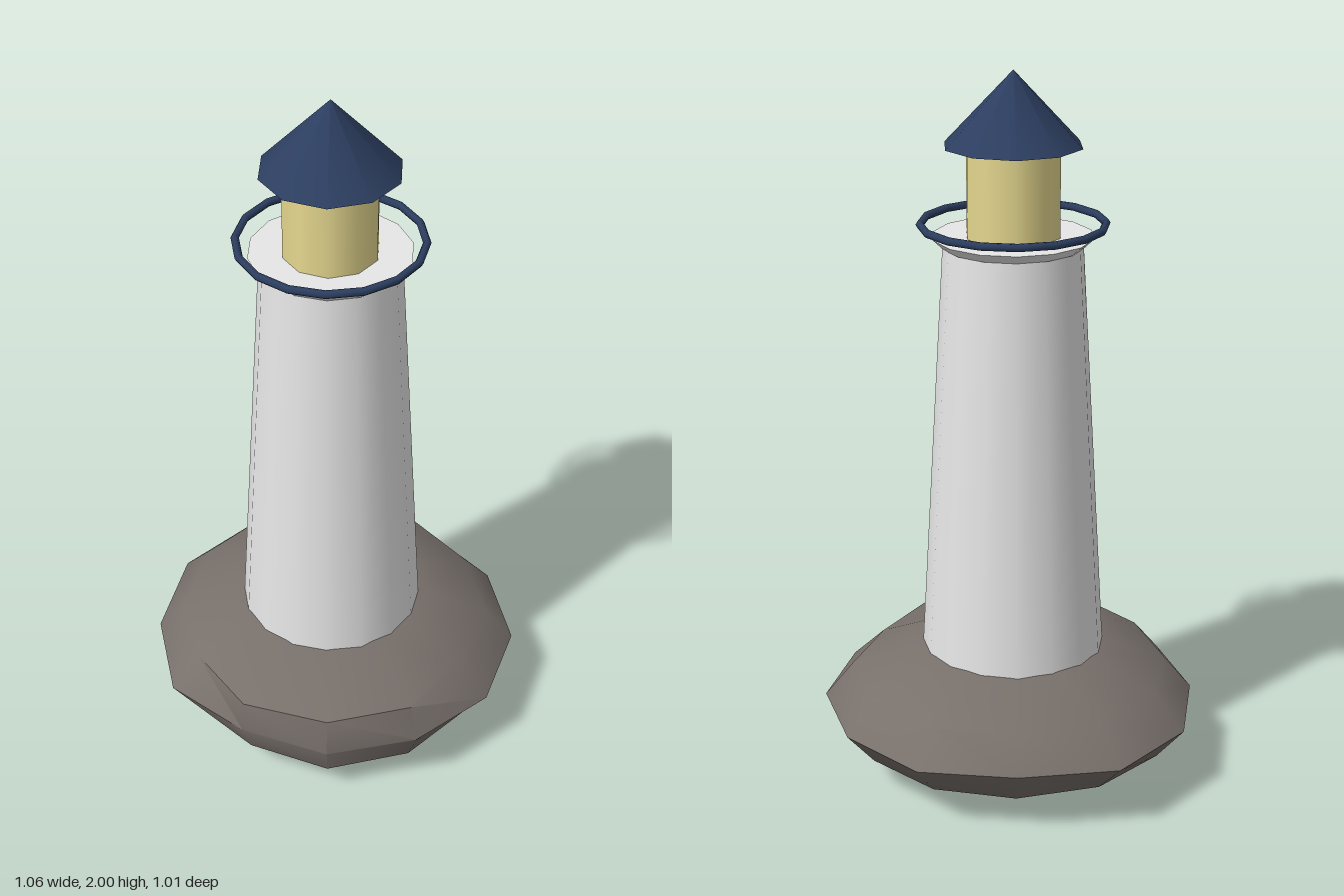
import * as THREE from 'three';
import { mergeVertices, toCreasedNormals } from 'three/addons/utils/BufferGeometryUtils.js';

const AXIS_X = -0.012; // tower axis

// Squashed boulder: 12 x 6 sphere with a radius for each column of each ring
function rockGeometry() {
  const rings = {
    1: [0.27, 0.26, 0.25, 0.25, 0.26, 0.28, 0.26, 0.26, 0.28, 0.25, 0.27, 0.27],
    2: [0.45, 0.42, 0.468, 0.476, 0.48, 0.45, 0.45, 0.46, 0.47, 0.45, 0.46, 0.45],
    3: [0.53, 0.522, 0.504, 0.505, 0.489, 0.533, 0.53, 0.551, 0.558, 0.51, 0.537, 0.532],
    4: [0.45, 0.45, 0.46, 0.47, 0.45, 0.46, 0.46, 0.47, 0.46, 0.45, 0.45, 0.45],
    5: [0.27, 0.26, 0.27, 0.27, 0.27, 0.27, 0.28, 0.26, 0.26, 0.23, 0.26, 0.27],
  };
  const geo = new THREE.SphereGeometry(1, 12, 6);
  const pos = geo.attributes.position;
  for (let iy = 0; iy <= 6; iy++) {
    for (let ix = 0; ix <= 12; ix++) {
      const k = (18 - ix) % 12;
      const a = (k * Math.PI) / 6;
      const r = rings[iy] ? rings[iy][k] : 0;
      const y = 0.195 * (1 + Math.cos((iy * Math.PI) / 6));
      pos.setXYZ(iy * 13 + ix, r * Math.cos(a), y, r * Math.sin(a));
    }
  }
  geo.deleteAttribute('uv');
  geo.deleteAttribute('normal');
  return toCreasedNormals(mergeVertices(geo), 0.72);
}

export function createModel() {
  const group = new THREE.Group();
  const mat = (name, color) => {
    const m = new THREE.MeshStandardMaterial({ color });
    m.name = name;
    return m;
  };
  const stone = mat('rock grey', 0x78706b);
  const white = mat('tower white', 0xe8e8e8);
  const navy = mat('navy blue', 0x2c3e60);
  const glow = mat('lantern yellow', 0xe6d88f);

  const add = (name, geo, material, x, y) => {
    const mesh = new THREE.Mesh(geo, material);
    mesh.name = name;
    mesh.position.set(x, y, 0);
    group.add(mesh);
    return mesh;
  };
  // Round part between two heights on the tower axis
  const drum = (name, rTop, rBottom, y0, y1, sides, material) =>
    add(name, new THREE.CylinderGeometry(rTop, rBottom, y1 - y0, sides), material, AXIS_X, (y0 + y1) / 2);

  add('rock', rockGeometry(), stone, 0, 0);
  drum('tower', 0.19, 0.267, 0.2, 1.53, 16, white);
  drum('gallery', 0.22, 0.193, 1.53, 1.556, 14, white);
  drum('lantern', 0.13, 0.13, 1.556, 1.8, 10, glow);
  add('roof', new THREE.ConeGeometry(0.19, 0.2, 10), navy, AXIS_X, 1.9);

  // Railing ring around the gallery
  const rail = add('railing', new THREE.TorusGeometry(0.25, 0.011, 6, 16), navy, AXIS_X, 1.588);
  rail.rotation.x = Math.PI / 2;

  return group;
}
